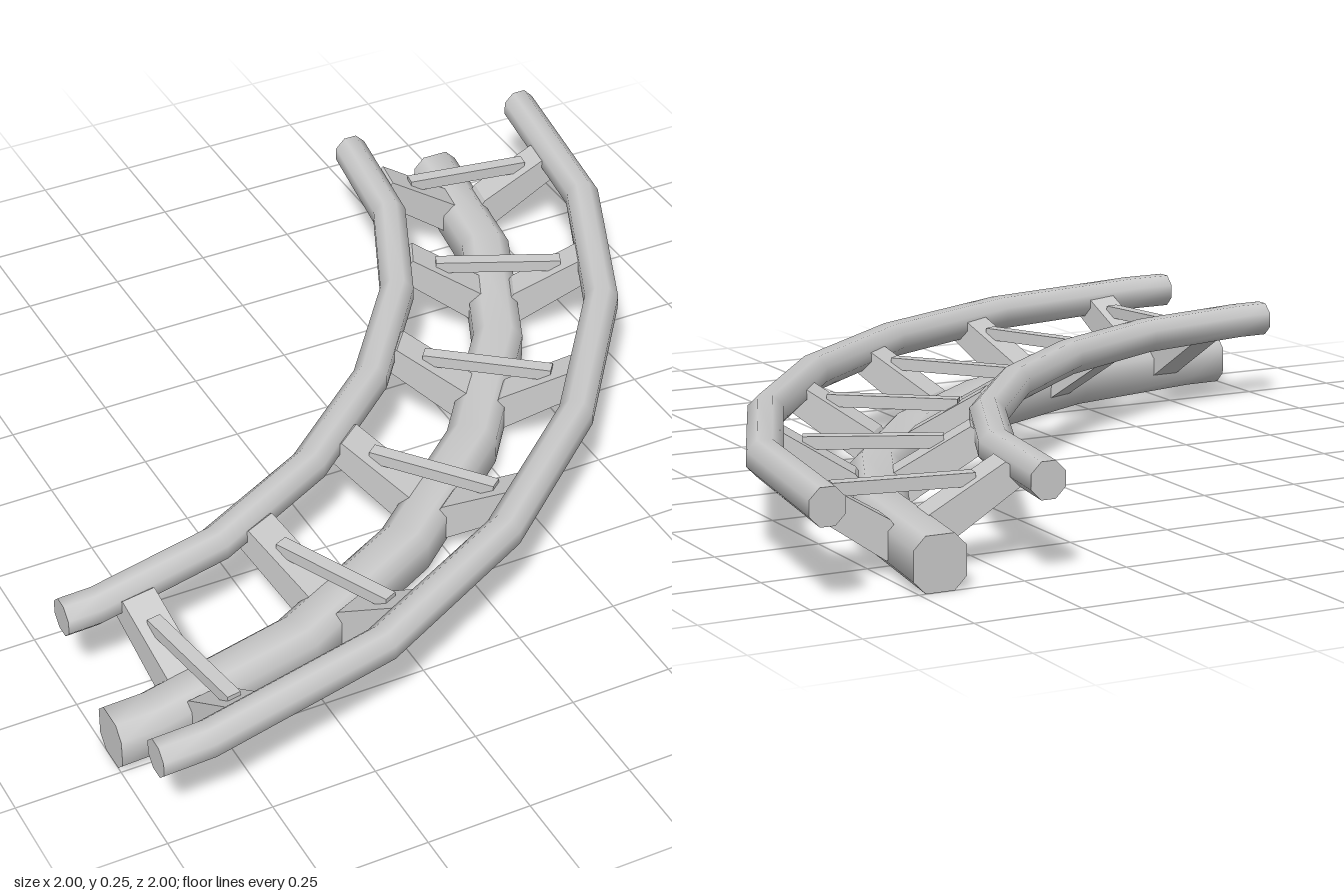
import * as THREE from 'three';
import { toCreasedNormals } from 'three/addons/utils/BufferGeometryUtils.js';

const REACH = 1.7;   // distance of the spine's ends from the inside corner
const GAUGE = 0.258; // rail distance from the spine, sideways
const STATIONS = [0, 0.04, 0.2, 0.36, 0.52, 0.68, 0.84, 1]; // bends along the curve
const TIES = 6;

const material = new THREE.MeshStandardMaterial({ color: 0xcccccc });

// Centre line of the spine: a quarter bend, slightly flattened in the middle (x, z)
const curve = new THREE.CubicBezierCurve(
  new THREE.Vector2(-1, REACH - 1),
  new THREE.Vector2(REACH / 2 - 1, REACH - 1),
  new THREE.Vector2(REACH - 1, REACH / 2 - 1),
  new THREE.Vector2(REACH - 1, -1)
);

// Eight-sided pipe beside the centre line, closed at both ends;
// half is its half width, flat the half width of its level faces
function pipe(name, offset, y, half, flat) {
  const section = [
    [half, -flat], [half, flat], [flat, half], [-flat, half],
    [-half, flat], [-half, -flat], [-flat, -half], [flat, -half],
  ];
  const sides = section.length;
  const positions = [];
  const index = [];
  for (const t of STATIONS) {
    const p = curve.getPoint(t);
    const d = curve.getTangent(t);
    for (const [u, v] of section) {
      positions.push(p.x - d.y * (offset + u), y + v, p.y + d.x * (offset + u));
    }
  }
  const last = (STATIONS.length - 1) * sides;
  for (let i = 0; i < last; i += sides) {
    for (let j = 0; j < sides; j++) {
      const k = (j + 1) % sides;
      index.push(i + j, i + sides + j, i + sides + k, i + j, i + sides + k, i + k);
    }
  }
  for (let j = 1; j < sides - 1; j++) {
    index.push(0, j, j + 1, last, last + j + 1, last + j);
  }
  const geometry = new THREE.BufferGeometry();
  geometry.setAttribute('position', new THREE.Float32BufferAttribute(positions, 3));
  geometry.setIndex(index);
  const mesh = new THREE.Mesh(toCreasedNormals(geometry, 0.9), material);
  mesh.name = name;
  return mesh;
}

// Sloping arm from the spine up to a rail
function makeArm(name) {
  const profile = [[0.05, 0.032], [0.275, 0.187], [0.22, 0.23], [0.04, 0.122], [0, 0.06]];
  const shape = new THREE.Shape(profile.map(([u, y]) => new THREE.Vector2(u, y)));
  const width = 0.085;
  const geometry = new THREE.ExtrudeGeometry(shape, { depth: width, bevelEnabled: false });
  geometry.translate(0, 0, -width / 2);
  const mesh = new THREE.Mesh(geometry, material);
  mesh.name = name;
  return mesh;
}

// V-shaped support: two arms joined near the top by a thin level bar
function makeTie() {
  const tie = new THREE.Group();
  const outer = makeArm('outerArm');
  const inner = makeArm('innerArm');
  inner.rotation.y = Math.PI;
  const bar = new THREE.Mesh(new THREE.BoxGeometry(0.32, 0.03, 0.034), material);
  bar.name = 'crossBar';
  bar.position.y = 0.19;
  tie.add(outer, inner, bar);
  return tie;
}

export function createModel() {
  const model = new THREE.Group();
  model.name = 'curvedTrack';

  // Spine and the two running rails
  model.add(
    pipe('spine', 0, 0.0625, 0.0625, 0.034),
    pipe('outerRail', GAUGE, 0.213, 0.042, 0.0174),
    pipe('innerRail', -GAUGE, 0.213, 0.042, 0.0174)
  );

  // Ties, evenly spaced and square to the track
  for (let i = 0; i < TIES; i++) {
    const t = (i + 0.5) / TIES;
    const p = curve.getPoint(t);
    const d = curve.getTangent(t);
    const tie = makeTie();
    tie.name = 'tie' + (i + 1);
    tie.position.set(p.x, 0, p.y);
    tie.rotation.y = Math.atan2(-d.x, -d.y);
    model.add(tie);
  }
  return model;
}
